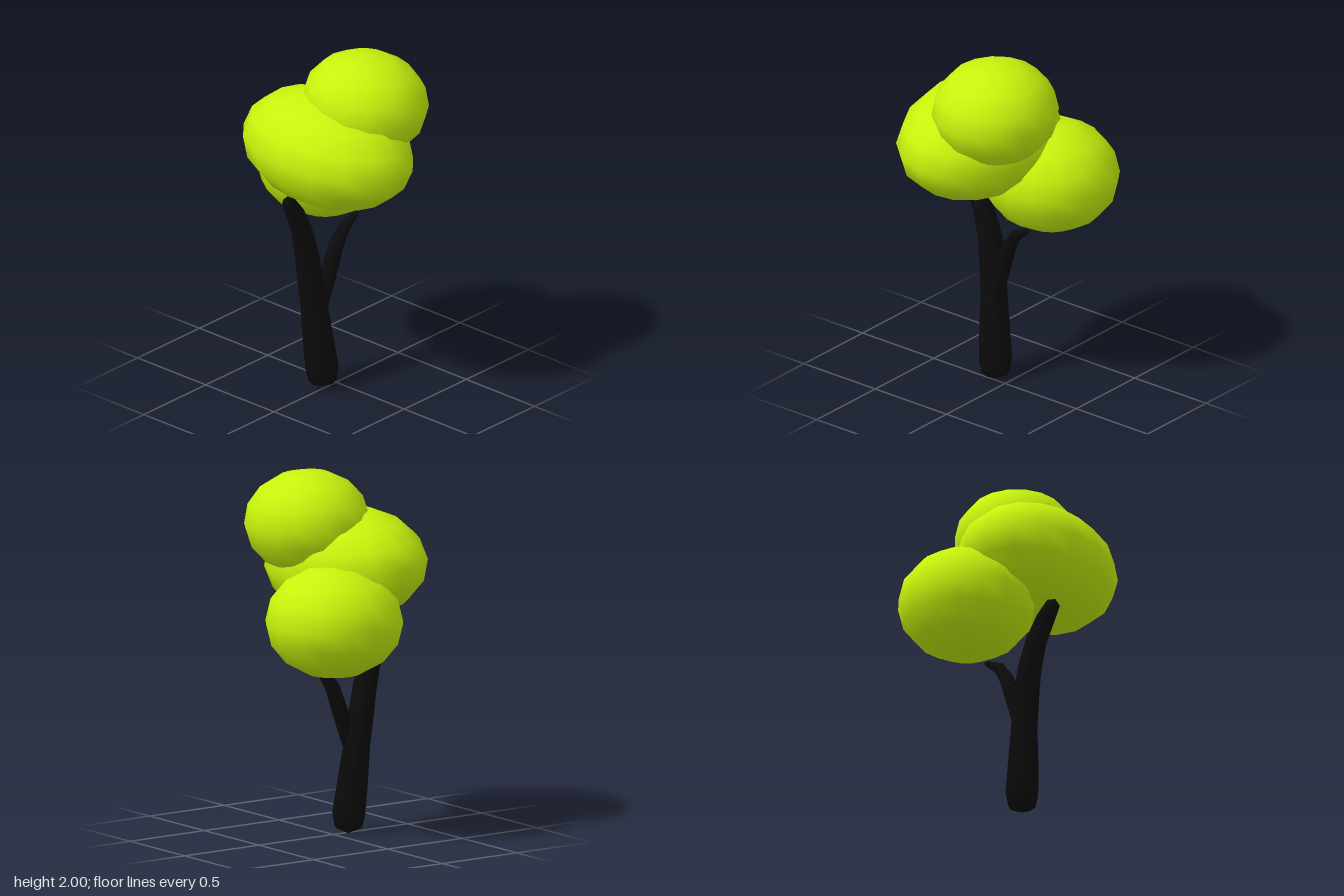
import * as THREE from 'three';

const bark = new THREE.MeshStandardMaterial({ color: 0x0b0b0b });
const leaves = new THREE.MeshStandardMaterial({ color: 0xc6f20c });

// Tapering limb: rings of [x, y, z, radius] set square to the path
function limb(name, rings, sides = 8) {
  const points = rings.map(([x, y, z]) => new THREE.Vector3(x, y, z));
  const zAxis = new THREE.Vector3(0, 0, 1);
  const positions = [];
  const index = [];
  rings.forEach((ring, i) => {
    const before = points[Math.max(i - 1, 0)];
    const after = points[Math.min(i + 1, points.length - 1)];
    const along = after.clone().sub(before).normalize();
    const u = along.clone().cross(zAxis).normalize();
    const v = u.clone().cross(along);
    for (let j = 0; j < sides; j++) {
      const a = (j / sides) * Math.PI * 2;
      const p = points[i].clone()
        .addScaledVector(u, Math.cos(a) * ring[3])
        .addScaledVector(v, Math.sin(a) * ring[3]);
      positions.push(p.x, p.y, p.z);
      if (i === rings.length - 1) continue;
      const k = (j + 1) % sides;
      const lo = i * sides;
      const hi = lo + sides;
      index.push(lo + j, hi + j, lo + k, lo + k, hi + j, hi + k);
    }
  });
  const geometry = new THREE.BufferGeometry();
  geometry.setAttribute('position', new THREE.Float32BufferAttribute(positions, 3));
  geometry.setIndex(index);
  geometry.computeVertexNormals();
  const mesh = new THREE.Mesh(geometry, bark);
  mesh.name = name;
  return mesh;
}

// Squashed, slightly tilted ball of leaves
function crown(name, centre, radii, tiltX = 0, tiltZ = 0) {
  const mesh = new THREE.Mesh(new THREE.SphereGeometry(1, 16, 8), leaves);
  mesh.name = name;
  mesh.position.set(...centre);
  mesh.scale.set(...radii);
  mesh.rotation.set(tiltX, 0, tiltZ);
  return mesh;
}

export function createModel() {
  const tree = new THREE.Group();
  tree.name = 'tree';

  // Trunk with a rounded foot, leaning to the right at the top
  tree.add(limb('trunk', [
    [-0.085, 0.0, -0.022, 0],
    [-0.085, 0.035, -0.022, 0.075],
    [-0.086, 0.11, -0.024, 0.091],
    [-0.105, 0.3, -0.038, 0.083],
    [-0.12, 0.49, -0.052, 0.073],
    [-0.14, 0.65, -0.062, 0.07],
    [-0.162, 0.81, -0.068, 0.066],
    [-0.208, 0.98, -0.066, 0.057],
    [-0.265, 1.1, -0.062, 0.051],
    [-0.316, 1.182, -0.06, 0.038],
    [-0.327, 1.2, -0.06, 0],
  ]));

  // Side branch curving out to the left
  tree.add(limb('branch', [
    [-0.088, 0.46, -0.03, 0],
    [-0.082, 0.49, -0.028, 0.034],
    [-0.035, 0.67, -0.02, 0.045],
    [0.015, 0.82, -0.012, 0.042],
    [0.075, 0.912, -0.004, 0.032],
    [0.155, 0.962, 0.004, 0.016],
    [0.176, 0.968, 0.005, 0],
  ]));

  // Three overlapping balls of foliage
  tree.add(crown('topCrown', [0.06, 1.715, 0.157], [0.342, 0.285, 0.355], 0.05, -0.05));
  tree.add(crown('rightCrown', [-0.13, 1.48, 0.06], [0.4, 0.31, 0.522], 0.06, -0.08));
  tree.add(crown('leftCrown', [0.147, 1.23, -0.21], [0.383, 0.31, 0.372]));

  return tree;
}
